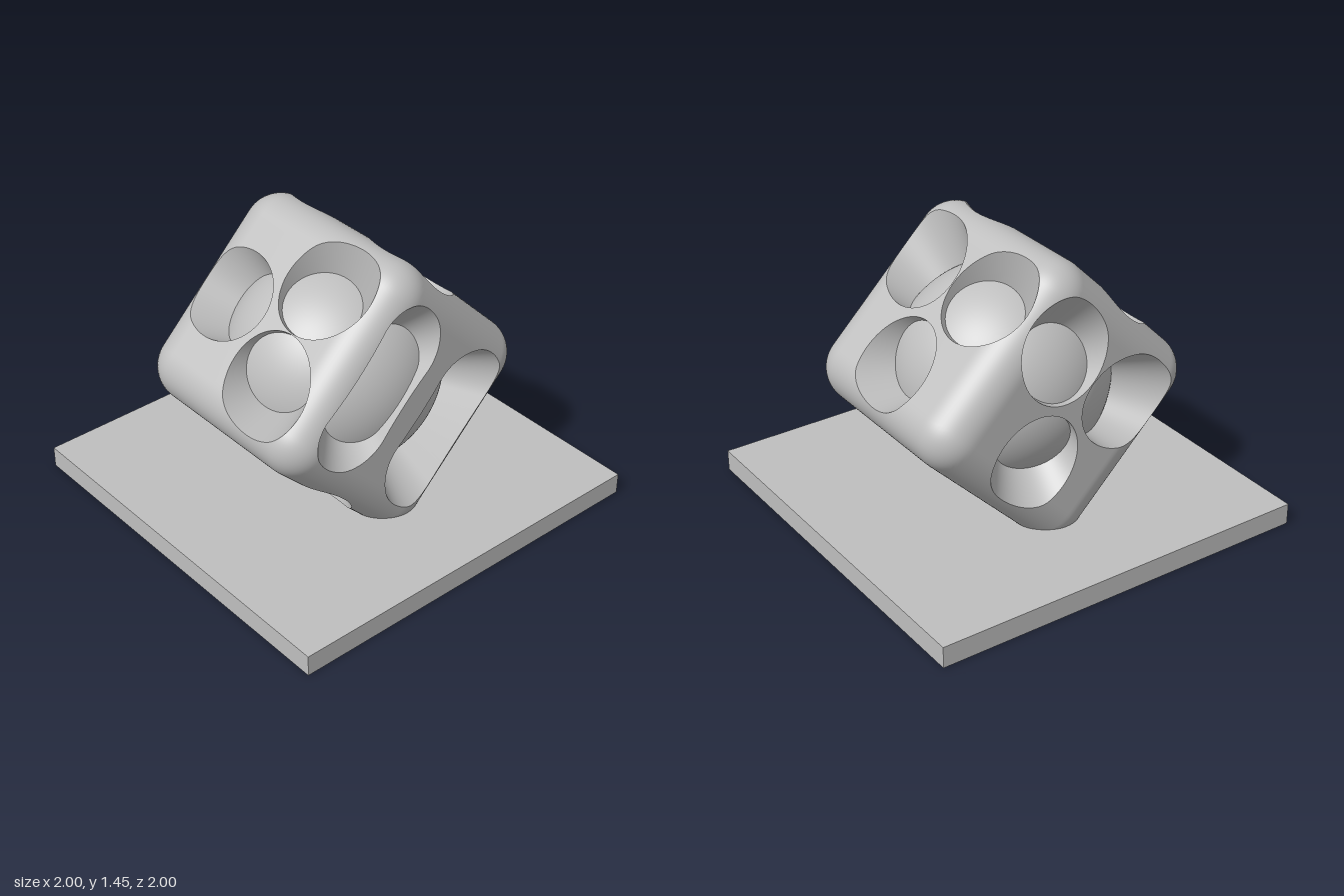
import * as THREE from 'three';

const HALF = 0.5625, ROUND = 0.18, CORE = 0.53;
const V = (x, y, z) => new THREE.Vector3(x, y, z);

// A pocket is a cone (or a swept cone from a to b) that narrows to the cube's centre.
function pocket(a, b, degrees, floor = CORE) {
  a = V(...a).normalize();
  b = V(...b).normalize();
  return { a, b, m: a.clone().cross(b).normalize(), angle: THREE.MathUtils.degToRad(degrees), floor };
}
const round = (...d) => pocket(d, d, 20.5);
const pockets = [
  round(0.325, 1, 0.40), round(0.325, 1, -0.40), round(-0.42, 1, 0),     // upper front
  round(0, -0.44, -1), round(0.40, 0.32, -1), round(-0.40, 0.32, -1),    // upper back
  round(0.43, 0, 1), round(-0.43, 0, 1),                                 // lower front
  round(-1, 0.32, -0.40), round(-1, 0.32, 0.40), round(-1, -0.44, 0),    // -x side
  pocket([1, 0.43, -0.37], [1, 0.43, 0.37], 16),                         // +x slots
  pocket([1, -0.43, -0.37], [1, -0.43, 0.37], 16),
  pocket([0, -1, 0], [0, -1, 0], 9, 0.35),                               // lower back drain
];

// Nearest pocket to a direction: f < 0 inside it, axis = closest axis direction.
function nearest(d) {
  let best = { f: Infinity };
  for (const p of pockets) {
    let axis = d.dot(p.a) > d.dot(p.b) ? p.a : p.b;
    if (p.m.lengthSq() > 0.5) {
      const q = d.clone().addScaledVector(p.m, -d.dot(p.m)).normalize();
      if (p.a.clone().cross(q).dot(p.m) > 0 && q.clone().cross(p.b).dot(p.m) > 0) axis = q;
    }
    const f = d.angleTo(axis) - p.angle;
    if (f < best.f) best = { f, axis, floor: p.floor };
  }
  return best;
}

// Rounded cube: part of a point that lies beyond the flat core.
function overhang(p) {
  const k = HALF - ROUND;
  const cut = (t) => Math.sign(t) * Math.max(Math.abs(t) - k, 0);
  return V(cut(p.x), cut(p.y), cut(p.z));
}
function outerPoint(d) {
  let lo = 0.4, hi = 1;
  for (let i = 0; i < 24; i++) {
    const mid = (lo + hi) / 2;
    if (overhang(d.clone().multiplyScalar(mid)).length() < ROUND) lo = mid; else hi = mid;
  }
  return d.clone().multiplyScalar(lo);
}

// Direction on the pocket rim between an inside and an outside direction.
function rim(a, b) {
  if (a.f >= 0) [a, b] = [b, a];
  let lo = 0, hi = 1, d;
  for (let i = 0; i < 16; i++) {
    const t = (lo + hi) / 2;
    d = a.d.clone().lerp(b.d, t).normalize();
    if (nearest(d).f < 0) lo = t; else hi = t;
  }
  return { d, ...nearest(d), f: 0, rim: true };
}

function surface() {
  const pos = [], nor = [];
  const put = (p, n) => { pos.push(p.x, p.y, p.z); nor.push(n.x, n.y, n.z); };
  return {
    fan(list) {
      for (let i = 1; i + 1 < list.length; i++)
        for (const v of [list[0], list[i], list[i + 1]]) put(v.p, v.n);
    },
    geometry() {
      const g = new THREE.BufferGeometry();
      g.setAttribute('position', new THREE.Float32BufferAttribute(pos, 3));
      g.setAttribute('normal', new THREE.Float32BufferAttribute(nor, 3));
      return g;
    },
  };
}

function buildCube() {
  const shell = surface(), floors = surface(), walls = surface();
  const skin = ({ d }) => { const p = outerPoint(d); return { p, n: overhang(p).normalize() }; };
  const base = (v) => ({ p: v.d.clone().multiplyScalar(v.floor), n: v.d });

  // Split each small triangle along the pocket rims.
  function triangle(tri) {
    const inside = [], outside = [];
    tri.forEach((v, i) => {
      const w = tri[(i + 1) % 3];
      (v.f < 0 ? inside : outside).push(v);
      if ((v.f < 0) !== (w.f < 0)) {
        const c = rim(v, w);
        inside.push(c);
        outside.push(c);
      }
    });
    if (outside.length) shell.fan(outside.map(skin));
    if (inside.length) floors.fan(inside.map(base));
    outside.forEach((p, i) => {
      const q = outside[(i + 1) % outside.length];
      if (!p.rim || !q.rim) return;
      const n = (v) => v.axis.clone().addScaledVector(v.d, -v.axis.dot(v.d)).normalize();
      walls.fan([
        { p: skin(q).p, n: n(q) }, { p: skin(p).p, n: n(p) },
        { p: base(p).p, n: n(p) }, { p: base(q).p, n: n(q) },
      ]);
    });
  }

  // Six faces, each an even angular grid of directions.
  const N = 72;
  const tan = (i) => Math.tan((i / N - 0.5) * Math.PI / 2);
  for (let axis = 0; axis < 3; axis++) for (const s of [1, -1]) {
    const grid = [];
    for (let i = 0; i <= N; i++) for (let j = 0; j <= N; j++) {
      const d = V(0, 0, 0);
      d.setComponent(axis, s);
      d.setComponent((axis + 1) % 3, tan(i));
      d.setComponent((axis + 2) % 3, s * tan(j));
      d.normalize();
      grid.push({ d, ...nearest(d) });
    }
    for (let i = 0; i < N; i++) for (let j = 0; j < N; j++) {
      const a = grid[i * (N + 1) + j], b = grid[(i + 1) * (N + 1) + j];
      const c = grid[(i + 1) * (N + 1) + j + 1], e = grid[i * (N + 1) + j + 1];
      triangle([a, b, c]);
      triangle([a, c, e]);
    }
  }
  return { roundedShell: shell, pocketFloors: floors, pocketWalls: walls };
}

export function createModel() {
  const model = new THREE.Group();
  model.name = 'pocketedCubeOnPlate';
  const grey = new THREE.MeshStandardMaterial({ color: 0xbfbfbf });
  grey.name = 'light grey';

  // Square plate
  const plate = new THREE.Mesh(new THREE.BoxGeometry(2, 0.11, 2), grey);
  plate.name = 'basePlate';
  plate.position.y = 0.055;
  model.add(plate);

  // Cube balanced on one edge, sunk a little into the plate
  const cube = new THREE.Group();
  cube.name = 'pocketedCube';
  for (const [name, part] of Object.entries(buildCube())) {
    const mesh = new THREE.Mesh(part.geometry(), grey);
    mesh.name = name;
    cube.add(mesh);
  }
  cube.rotation.x = Math.PI / 4;
  cube.position.y = 0.73;
  model.add(cube);
  return model;
}
